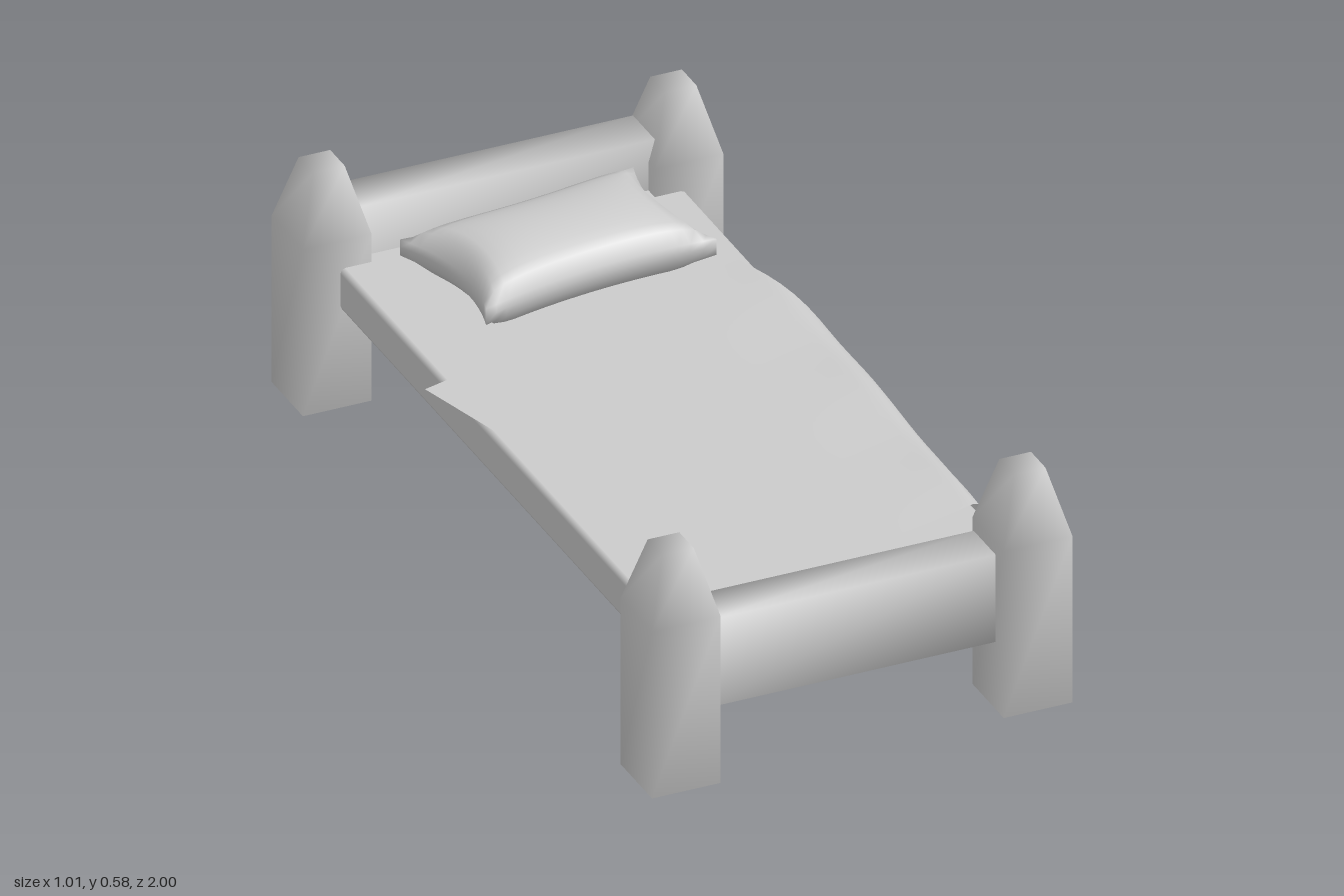
import * as THREE from 'three';
import { mergeVertices } from 'three/addons/utils/BufferGeometryUtils.js';
import { RoundedBoxGeometry } from 'three/addons/geometries/RoundedBoxGeometry.js';

const grey = new THREE.MeshStandardMaterial({ color: 0xcccccc });
const cloth = new THREE.MeshStandardMaterial({ color: 0xcccccc, side: THREE.DoubleSide });

// Moves every vertex by a rule, then shares corners for soft shading
function shaped(geometry, rule) {
  geometry.deleteAttribute('normal');
  geometry.deleteAttribute('uv');
  const p = geometry.attributes.position;
  const v = new THREE.Vector3();
  for (let i = 0; i < p.count; i++) {
    v.fromBufferAttribute(p, i);
    rule(v);
    p.setXYZ(i, v.x, v.y, v.z);
  }
  const merged = mergeVertices(geometry, 1e-5);
  merged.computeVertexNormals();
  return merged;
}

// Point on the quad a-b-c-d for u, v from 0 to 1 (corners as [x, z])
function onQuad([a, b, c, d], u, v) {
  const mix = THREE.MathUtils.lerp;
  return [0, 1].map((k) => mix(mix(a[k], b[k], u), mix(d[k], c[k], u), v));
}

function createPost() {
  const levels = [[0, 0.0825], [0.42, 0.0825], [0.58, 0.038]];
  return shaped(new THREE.BoxGeometry(2, 2, 2, 1, 2, 1), (v) => {
    const [y, half] = levels[Math.round(v.y) + 1];
    v.set(v.x * half, y, v.z * half);
  });
}

// Blanket lies askew and folds over the bed's left edge
function createBlanket() {
  const corners = [[-0.47, -0.27], [0.39, -0.505], [0.70, 0.605], [-0.17, 0.84]];
  const edge = 0.41;
  return shaped(new THREE.PlaneGeometry(1, 1, 48, 24), (p) => {
    const [x, z] = onQuad(corners, p.x + 0.5, 0.5 - p.y);
    const top = 0.357 + 0.003 * Math.sin(z * 14) * THREE.MathUtils.smoothstep(x, 0.2, edge);
    const r = 0.06 - 0.035 * THREE.MathUtils.smoothstep(z, -0.2, 0.65);
    const over = Math.max(0, x - edge);
    const angle = Math.min(over / r, Math.PI / 2);
    const hang = Math.max(0, over - r * Math.PI / 2);
    p.set(
      Math.min(x, edge) + r * Math.sin(angle),
      top - r * (1 - Math.cos(angle)) - hang,
      z
    );
  });
}

// Pillow with pinched sides, pulled-out corners and a flat underside
function createPillow() {
  const corners = [[-0.295, -0.785], [0.30, -0.86], [0.335, -0.5], [-0.25, -0.43]];
  return shaped(new THREE.BoxGeometry(2, 2, 2, 20, 2, 14), (p) => {
    const { x: u, y: side, z: v } = p;
    const pu = u * (1 - 0.13 * (1 - v * v));
    const pv = v * (1 - 0.16 * (1 - u * u));
    const [x, z] = onQuad(corners, (pu + 1) / 2, (pv + 1) / 2);
    const puff = Math.sqrt((1 - u ** 4) * (1 - v * v));
    const middle = 0.402 - 0.004 * puff;
    const thick = side > 0 ? 0.02 + 0.07 * puff : 0.02 + 0.05 * Math.min(1, 1.4 * puff);
    p.set(x, Math.max(0.35, middle + side * thick), z);
  });
}

export function createModel() {
  const bed = new THREE.Group();
  bed.name = 'bed';
  const add = (name, geometry, x = 0, y = 0, z = 0, material = grey) => {
    const mesh = new THREE.Mesh(geometry, material);
    mesh.name = name;
    mesh.position.set(x, y, z);
    bed.add(mesh);
  };

  // Four tapered corner posts
  const post = createPost();
  for (const [end, z] of [['front', 0.9175], ['back', -0.9175]]) {
    add(end + 'LeftPost', post, 0.4225, 0, z);
    add(end + 'RightPost', post, -0.4225, 0, z);
  }

  // End boards
  const board = (height) => shaped(new THREE.BoxGeometry(0.72, height, 0.115), () => {});
  add('footboard', board(0.22), 0, 0.28, 0.9);
  add('headboard', board(0.28), 0, 0.335, -0.925);

  // Mattress and bedding
  add('mattress', new RoundedBoxGeometry(0.83, 0.105, 1.74, 1, 0.012), 0, 0.2975, -0.01);
  add('blanket', createBlanket(), 0, 0, 0, cloth);
  add('pillow', createPillow());

  return bed;
}
